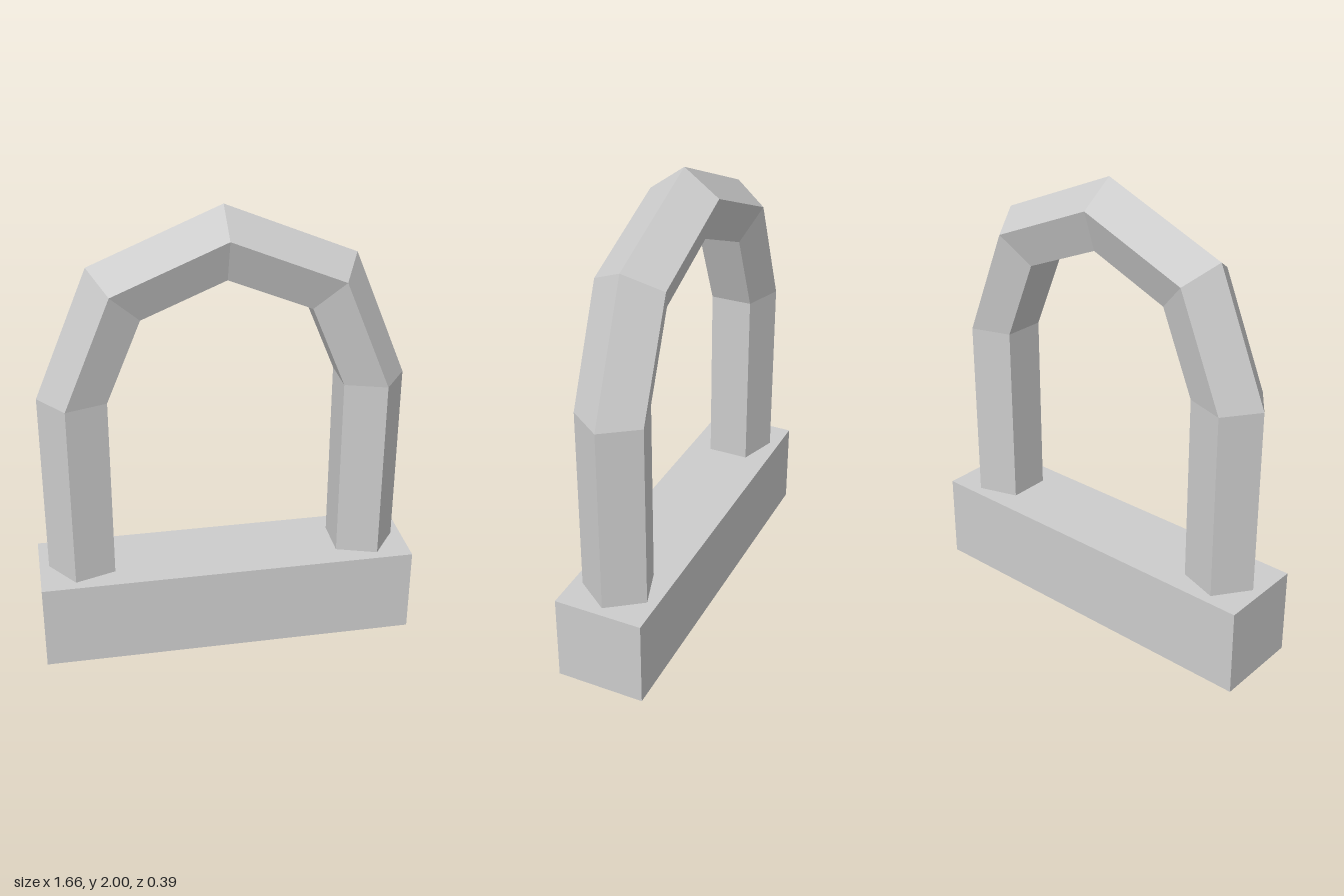
import * as THREE from 'three';

const ARCH_RADIUS = 0.63;
const TUBE = 0.158;
const BASE_TOP = 0.39;
const SPRING_Y = 1.215; // height where the legs turn into the arch

export function createModel() {
  const group = new THREE.Group();
  group.name = 'archway';

  const stone = new THREE.MeshStandardMaterial({ color: 0xcccccc, flatShading: true });
  stone.name = 'grey stone';

  const add = (name, geometry, x, y, z = 0) => {
    const mesh = new THREE.Mesh(geometry, stone);
    mesh.name = name;
    mesh.position.set(x, y, z);
    group.add(mesh);
    return mesh;
  };

  // Rectangular plinth
  add('base', new THREE.BoxGeometry(1.66, BASE_TOP, 0.39), 0, BASE_TOP / 2);

  // Half ring of five-sided section in four straight segments, ridge outward
  add('arch', new THREE.TorusGeometry(ARCH_RADIUS, TUBE, 5, 4, Math.PI), 0, SPRING_Y);

  // Five-sided legs continuing the arch section down to the plinth
  const height = SPRING_Y - BASE_TOP;
  for (const side of [1, -1]) {
    const leg = new THREE.CylinderGeometry(TUBE, TUBE, height, 5, 1, true, side * Math.PI / 2);
    add(side > 0 ? 'leftLeg' : 'rightLeg', leg, side * ARCH_RADIUS, BASE_TOP + height / 2);
  }

  return group;
}
